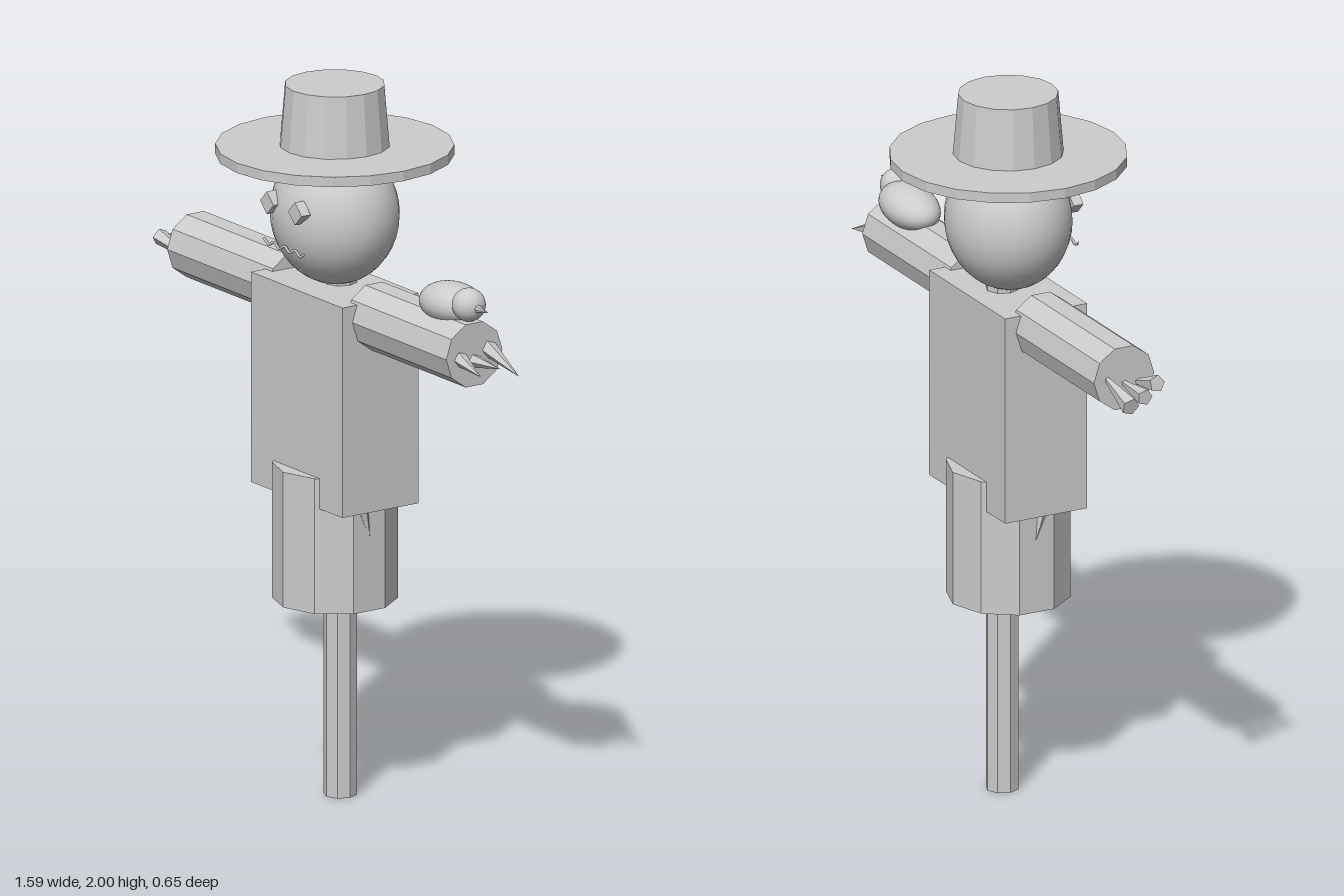
import * as THREE from 'three';

export function createModel() {
  const model = new THREE.Group();
  model.name = 'scarecrow';
  const grey = new THREE.MeshStandardMaterial({ color: 0xcccccc });
  grey.name = 'plain grey';

  const add = (name, geometry, x = 0, y = 0, z = 0, parent = model) => {
    const mesh = new THREE.Mesh(geometry, grey);
    mesh.name = name;
    mesh.position.set(x, y, z);
    parent.add(mesh);
    return mesh;
  };
  // Faceted cylinder with hard edges
  const prism = (top, bottom, height, sides) => {
    const g = new THREE.CylinderGeometry(top, bottom, height, sides).toNonIndexed();
    g.computeVertexNormals();
    return g;
  };
  // Smooth ellipsoid
  const ellipsoid = (rx, ry, rz) => new THREE.SphereGeometry(1, 32, 20).scale(rx, ry, rz);
  // Straw spike from the centre of its base to its tip
  const spike = (name, base, tip, radius, parent = model, sides = 5) => {
    const a = new THREE.Vector3(...base), b = new THREE.Vector3(...tip);
    const dir = b.clone().sub(a);
    const mesh = add(name, prism(0, radius, dir.length(), sides), 0, 0, 0, parent);
    mesh.position.copy(a).add(b).multiplyScalar(0.5);
    mesh.quaternion.setFromUnitVectors(new THREE.Vector3(0, 1, 0), dir.normalize());
    return mesh;
  };

  // Post, trousers and body
  add('pole', prism(0.046, 0.046, 1.47, 8), 0, 0.735, -0.018);
  add('trousers', prism(0.17, 0.17, 0.38, 10), 0, 0.745, 0);
  add('torso', new THREE.BoxGeometry(0.43, 0.59, 0.252), 0, 1.145, 0);

  // Sleeves and straw poking out at the waist
  for (const side of [-1, 1]) {
    const name = side > 0 ? 'left' : 'right';
    const sleeve = add(name + 'Sleeve', prism(0.0925, 0.0925, 0.472, 10), side * 0.42, 1.393, 0);
    sleeve.rotation.z = Math.PI / 2;
    spike(name + 'WaistStraw', [side * 0.157, 0.87, 0.025], [side * 0.16, 0.75, -0.005], 0.022);
  }

  // Straw hands: points outward on the left, flared ends outward on the right
  const leftHand = new THREE.Group();
  leftHand.name = 'leftStrawHand';
  const rightHand = new THREE.Group();
  rightHand.name = 'rightStrawHand';
  model.add(leftHand, rightHand);
  spike('straw', [0.64, 1.405, -0.05], [0.796, 1.355, -0.05], 0.026, leftHand);
  spike('straw', [0.64, 1.375, 0], [0.78, 1.381, 0], 0.022, leftHand);
  spike('straw', [0.64, 1.39, 0.045], [0.755, 1.36, 0.047], 0.024, leftHand);
  spike('straw', [-0.79, 1.362, -0.052], [-0.6, 1.41, -0.05], 0.026, rightHand);
  spike('straw', [-0.775, 1.375, 0], [-0.6, 1.38, 0], 0.023, rightHand);
  spike('straw', [-0.755, 1.4, 0.048], [-0.6, 1.36, 0.04], 0.024, rightHand);

  // Head with patch eyes and a stitched mouth
  add('head', ellipsoid(0.187, 0.196, 0.17), 0, 1.638, 0);
  for (const side of [-1, 1]) {
    const eye = add('eye', new THREE.BoxGeometry(0.045, 0.045, 0.03), side * 0.066, 1.678, 0.163);
    eye.rotation.z = Math.PI / 4;
  }
  const stitches = [];
  for (let i = 0; i <= 24; i++) {
    const t = i / 12 - 1;
    stitches.push(new THREE.Vector3(t * 0.098, 1.563 + 0.006 * Math.cos(t * Math.PI * 4), 0.166));
  }
  add('mouth', new THREE.TubeGeometry(new THREE.CatmullRomCurve3(stitches), 48, 0.004, 5));

  // Hat
  add('hatBrim', prism(0.323, 0.323, 0.028, 20), 0, 1.815, 0);
  add('hatCrown', prism(0.136, 0.152, 0.19, 16), 0, 1.905, 0);

  // Bird on the left sleeve
  const bird = new THREE.Group();
  bird.name = 'bird';
  model.add(bird);
  const body = add('birdBody', ellipsoid(0.115, 0.058, 0.073), 0.523, 1.504, -0.019, bird);
  body.rotation.z = 0.06;
  add('birdHead', ellipsoid(0.046, 0.046, 0.046), 0.63, 1.527, 0, bird);
  spike('beak', [0.66, 1.525, 0], [0.722, 1.525, 0], 0.015, bird, 8);

  return model;
}
